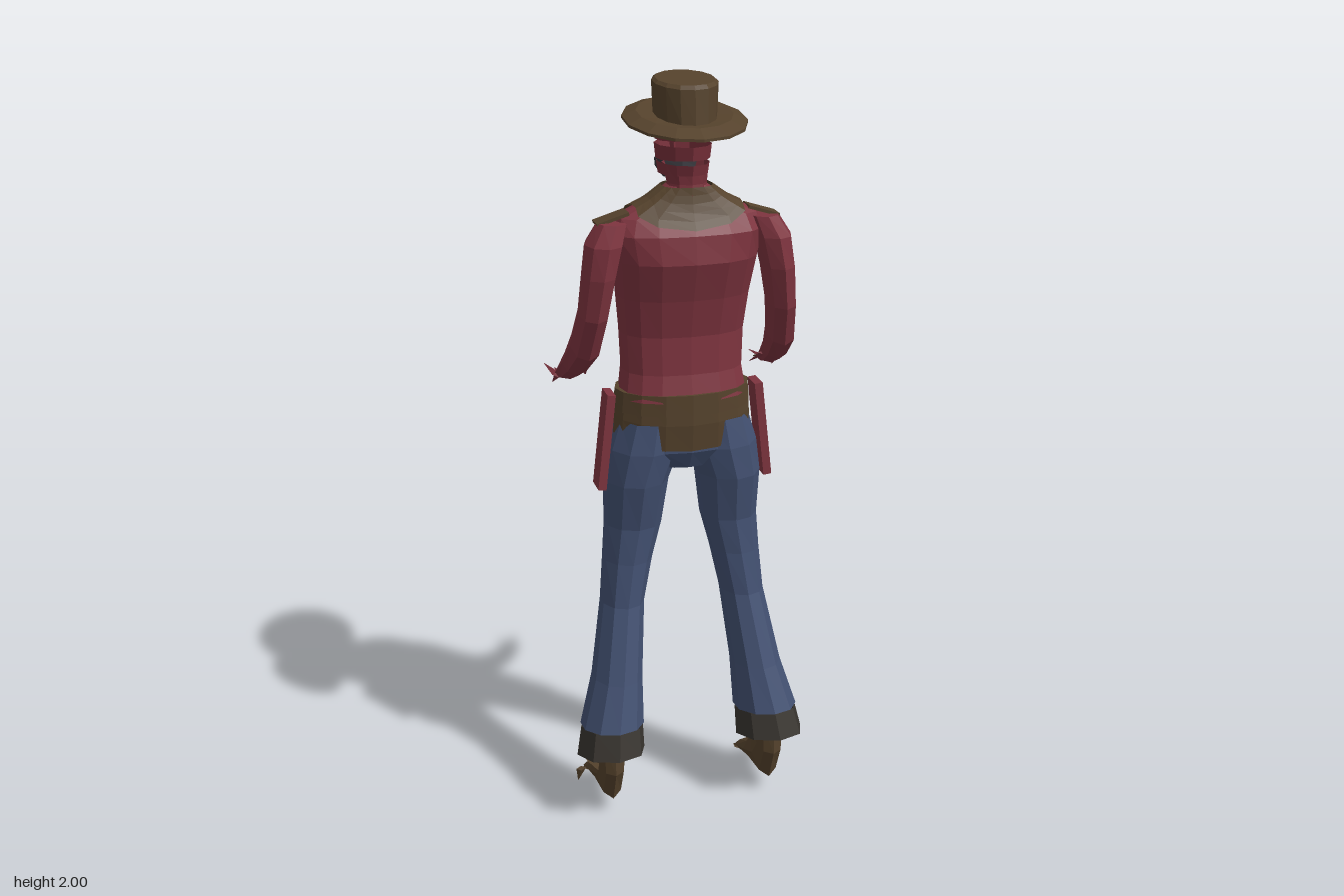
import * as THREE from 'three';

const mat = (name, color) => {
  const m = new THREE.MeshStandardMaterial({ color, side: THREE.DoubleSide });
  m.name = name;
  return m;
};

export function createModel() {
  const model = new THREE.Group();
  model.name = 'hattedFigure';
  const red = mat('shirtRed', 0x7e343f);
  const skin = mat('faceRed', 0x78303a);
  const blue = mat('denimBlue', 0x435172);
  const brown = mat('leatherBrown', 0x55422c);
  const hemGrey = mat('hemGrey', 0x38342f);
  const beard = mat('beardGrey', 0x35353a);

  // Faceted skin over rings; a ring is a function of the angle giving [x, y, z]
  function skinOver(name, material, rings, n, capStart = false, capEnd = false) {
    const pts = [], idx = [];
    const at = (i, j) => i * n + (j % n);
    rings.forEach((ring) => {
      for (let j = 0; j < n; j++) pts.push(...ring((j / n) * Math.PI * 2 + Math.PI / 2));
    });
    for (let i = 0; i < rings.length - 1; i++) {
      for (let j = 0; j < n; j++) {
        const a = at(i, j), b = at(i, j + 1), c = at(i + 1, j + 1), d = at(i + 1, j);
        idx.push(a, d, c, a, c, b);
      }
    }
    const last = rings.length - 1;
    for (let j = 1; j < n - 1; j++) {
      if (capStart) idx.push(at(0, 0), at(0, j), at(0, j + 1));
      if (capEnd) idx.push(at(last, 0), at(last, j + 1), at(last, j));
    }
    const indexed = new THREE.BufferGeometry();
    indexed.setAttribute('position', new THREE.Float32BufferAttribute(pts, 3));
    indexed.setIndex(idx);
    const geo = indexed.toNonIndexed();
    geo.computeVertexNormals();
    return add(name, geo, material);
  }

  function add(name, geo, material) {
    const mesh = new THREE.Mesh(geo, material);
    mesh.name = name;
    model.add(mesh);
    return mesh;
  }

  // Elliptical ring [x, y, z, half width, half depth, pitch], mirrored by side s
  const ellipse = ([x, y, z, rx, rd, p = 0], s = 1) => (a) => [
    s * x + Math.cos(a) * rx,
    y + Math.sin(a) * rd * Math.sin(p),
    z + Math.sin(a) * rd * Math.cos(p),
  ];
  const loft = (name, material, rows, n, s = 1, c0 = false, c1 = false) =>
    skinOver(name, material, rows.map((r) => ellipse(r, s)), n, c0, c1);

  // Thin four-sided spike
  const spike = (name, material, from, to, w, s) => {
    const [x, y, z] = from;
    loft(name, material, [[...to, 0.001, 0.001, -1.3], [x, y, z, w, w * 0.5, -1.3]], 4, s, true, true);
  };

  // Torso cross-sections: y, half width, back z, front z
  const torso = [
    [1.18, 0.17, 0.135, -0.09], [1.25, 0.16, 0.12, -0.095], [1.35, 0.164, 0.118, -0.1],
    [1.45, 0.174, 0.14, -0.1], [1.55, 0.186, 0.172, -0.08], [1.62, 0.2, 0.162, -0.035],
    [1.66, 0.185, 0.135, -0.005], [1.7, 0.1, 0.12, 0.015], [1.735, 0.05, 0.115, 0.02],
  ];
  function torsoPoint(a, y, grow = 0) {
    let i = 0;
    while (i < torso.length - 2 && y > torso[i + 1][0]) i++;
    const lo = torso[i], hi = torso[i + 1];
    const t = (y - lo[0]) / (hi[0] - lo[0]);
    const [w, b, f] = [1, 2, 3].map((k) => lo[k] + (hi[k] - lo[k]) * t);
    const round = (v) => Math.sign(v) * Math.abs(v) ** 0.8;
    return [
      round(Math.cos(a)) * (w + grow), y + grow * 0.5,
      (b + f) / 2 + round(Math.sin(a)) * ((b - f) / 2 + grow),
    ];
  }
  skinOver('shirt', red, torso.map((r) => (a) => torsoPoint(a, r[0])), 16);

  // Neckerchief: long point on the chest, short one on the back
  const scarfEdge = (a) => 1.685 - 0.17 * Math.max(0, -Math.sin(a)) ** 3
    - 0.055 * Math.max(0, Math.sin(a)) ** 3;
  skinOver('neckerchief', brown, [0, 0.2, 0.4, 0.6, 0.8, 1].map((t) => (a) => {
    const edge = scarfEdge(a);
    return torsoPoint(a, edge + (1.73 - edge) * t, 0.008);
  }), 16);

  // Neck, head bands, jaw and nose
  loft('neck', skin, [[0, 1.69, 0.075, 0.056, 0.056], [0, 1.74, 0.07, 0.05, 0.052],
    [0, 1.785, 0.055, 0.058, 0.07]], 10);
  [[1.755, 1.785, 0.064], [1.792, 1.83, 0.07], [1.84, 1.9, 0.072]].forEach(([y0, y1, r]) =>
    loft('headBand', skin, [[0, y0, 0.032, r - 0.004, 0.096, 0.08],
      [0, y1, 0.032, r, 0.102, 0.04]], 10));
  loft('jaw', beard, [[0, 1.735, -0.03, 0.035, 0.04], [0, 1.765, -0.022, 0.058, 0.055],
    [0, 1.785, -0.022, 0.06, 0.052]], 8, 1, true, true);
  loft('nose', skin, [[0, 1.8, -0.072, 0.014, 0.02], [0, 1.845, -0.064, 0.008, 0.008]], 4, 1, true, true);

  // Hat: brim underside, brim top, then crown
  loft('hat', brown, [
    [0, 1.895, 0.05, 0.075, 0.1, -0.13], [0, 1.9, 0.05, 0.12, 0.14, -0.13],
    [0, 1.888, 0.05, 0.155, 0.182, -0.13], [0, 1.895, 0.05, 0.155, 0.182, -0.13],
    [0, 1.909, 0.05, 0.12, 0.14, -0.13], [0, 1.905, 0.052, 0.078, 0.105, -0.13],
    [0, 1.985, 0.052, 0.082, 0.098, -0.1], [0, 1.992, 0.052, 0.074, 0.088, -0.08],
  ], 14, 1, false, true);

  // Hips, leather waist and belt
  loft('hips', blue, [[0, 0.99, 0.02, 0.1, 0.08], [0, 1.04, 0.024, 0.182, 0.104],
    [0, 1.15, 0.024, 0.178, 0.108]], 16, 1, true);
  loft('waistLeather', brown, [[0, 1.08, 0.025, 0.186, 0.113, -0.3],
    [0, 1.13, 0.025, 0.184, 0.116, -0.1], [0, 1.19, 0.025, 0.176, 0.114]], 16);
  loft('belt', brown, [[0, 1.145, 0.022, 0.185, 0.119], [0, 1.2, 0.022, 0.18, 0.118],
    [0, 1.2, 0.022, 0.165, 0.1]], 16);
  const buckle = add('buckle', new THREE.BoxGeometry(0.05, 0.04, 0.008), brown);
  buckle.position.set(0, 1.17, -0.1);

  for (const s of [1, -1]) {
    const side = s > 0 ? 'left' : 'right';

    // Flared trouser leg with a dark hem
    const hemTop = [0.218, 0.265, 0.102, 0.086, 0.102, 0.15];
    loft(side + 'Hem', hemGrey, [[0.226, 0.19, 0.12, 0.094, 0.112, 0.2], hemTop], 8, s);
    loft(side + 'Leg', blue, [hemTop, [0.196, 0.4, 0.074, 0.068, 0.088], [0.168, 0.6, 0.025, 0.059, 0.077],
      [0.15, 0.72, 0.014, 0.067, 0.077], [0.133, 0.82, 0.01, 0.077, 0.082],
      [0.126, 0.95, 0.02, 0.087, 0.102], [0.103, 1.04, 0.024, 0.098, 0.106],
      [0.09, 1.12, 0.024, 0.086, 0.1]], 10, s);

    // Foot and pointed toes
    loft(side + 'Foot', brown, [[0.225, 0.04, -0.07, 0.04, 0.01, -1.5], [0.225, 0.055, -0.04, 0.045, 0.02, -1.4],
      [0.225, 0.075, 0.02, 0.04, 0.03, -1.2], [0.225, 0.1, 0.085, 0.035, 0.075, -0.8],
      [0.225, 0.15, 0.125, 0.035, 0.052, -0.2], [0.225, 0.23, 0.125, 0.04, 0.05]], 8, s, true, true);
    [[0.19, 0.03, -0.09], [0.225, 0.035, -0.092], [0.26, 0.03, -0.085], [0.283, 0.0, -0.06]]
      .forEach(([x, y, z]) => spike(side + 'Toe', brown, [x * 0.9 + 0.0225, 0.045, -0.045], [x, y, z], 0.014, s));
    spike(side + 'AnkleFringe', brown, [0.245, 0.13, 0.11], [0.285, 0.14, 0.07], 0.02, s);

    // Sleeve bent forward at the elbow
    loft(side + 'Arm', red, [[0.285, 1.195, -0.14, 0.024, 0.01, -1.2], [0.277, 1.225, -0.085, 0.034, 0.026, -1.1],
      [0.271, 1.268, -0.02, 0.037, 0.038, -1], [0.26, 1.33, 0.045, 0.04, 0.055, -0.6],
      [0.247, 1.42, 0.082, 0.04, 0.062, -0.15], [0.233, 1.52, 0.092, 0.045, 0.07],
      [0.218, 1.6, 0.09, 0.05, 0.07], [0.195, 1.652, 0.085, 0.04, 0.05]], 8, s, true, true);

    // Pointed fingers and cuff fringe
    [[0.316, 1.2, -0.23], [0.29, 1.188, -0.222], [0.264, 1.192, -0.234], [0.308, 1.17, -0.16]]
      .forEach(([x, y, z]) => spike(side + 'Finger', red, [0.285 + (x - 0.285) * 0.6, 1.205, -0.11], [x, y, z], 0.014, s));
    spike(side + 'Thumb', brown, [0.262, 1.225, -0.08], [0.25, 1.2, -0.15], 0.018, s);
    spike(side + 'CuffFringe', red, [0.25, 1.24, -0.05], [0.228, 1.2, -0.11], 0.016, s);

    // Shoulder patch
    const patch = add(side + 'ShoulderPatch', new THREE.BoxGeometry(0.085, 0.008, 0.055), brown);
    patch.position.set(s * 0.195, 1.66, 0.072);
    patch.rotation.z = -s * 0.3;

    // Hanging hip holster
    const holster = add(side + 'Holster', new THREE.BoxGeometry(0.022, 0.26, 0.065), red);
    holster.position.set(s * 0.212, 1.065, 0.035);
    holster.rotation.z = s * 0.11;
  }
  return model;
}
